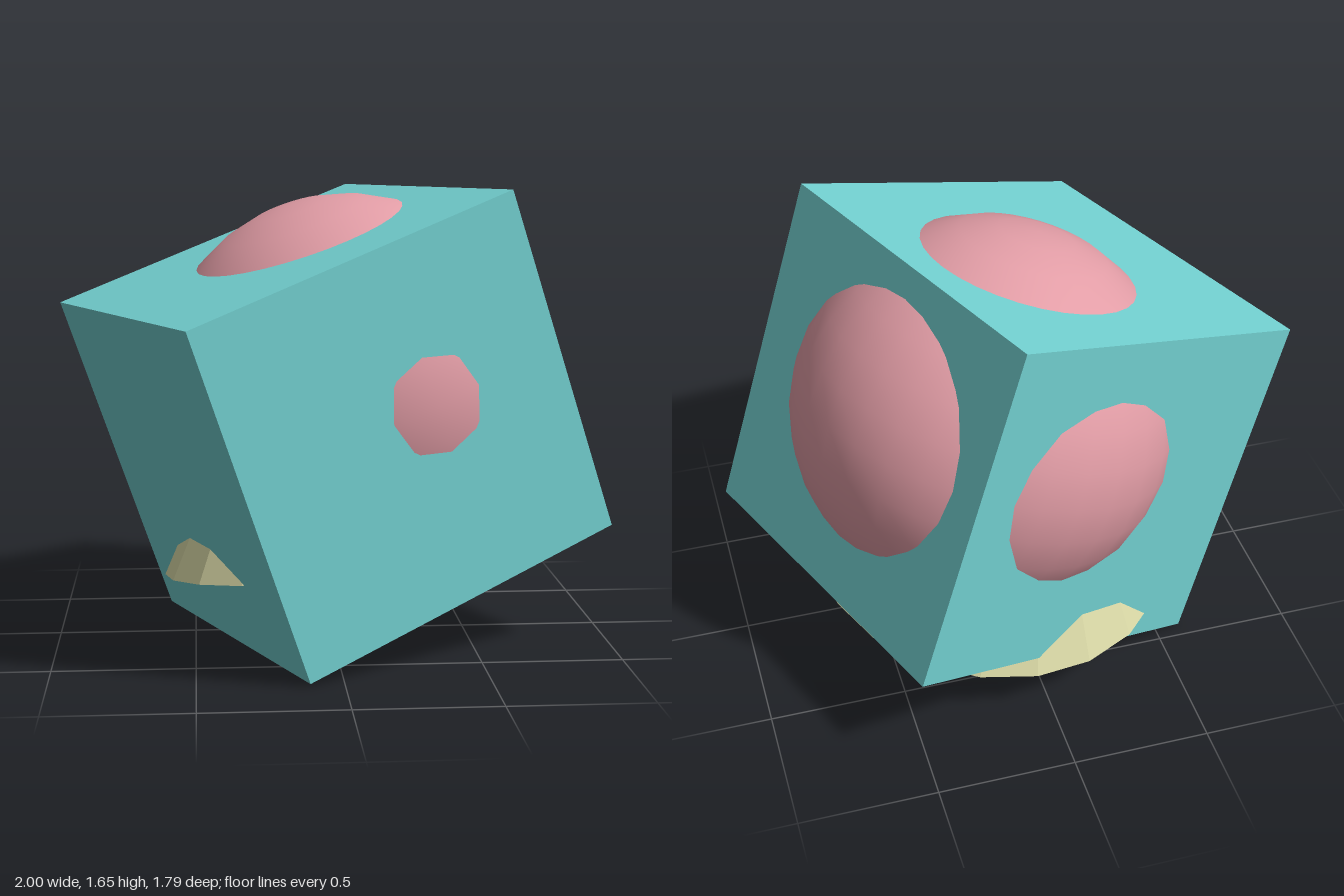
import * as THREE from 'three';

const paint = (name, color, flatShading = false) => {
  const m = new THREE.MeshStandardMaterial({ color, flatShading });
  m.name = name;
  return m;
};

export function createModel() {
  const teal = paint('teal', 0x74d3d3, true);
  const pink = paint('pink', 0xe29da6);
  const cream = paint('cream', 0xdcdba8, true);

  const model = new THREE.Group();
  model.name = 'intersectingSolids';
  const add = (parent, name, geometry, material) => {
    const mesh = new THREE.Mesh(geometry, material);
    mesh.name = name;
    parent.add(mesh);
    return mesh;
  };

  // Tilted frame shared by the cube and the ball
  const z = new THREE.Vector3(0.375, 0.008, 0.93).normalize();
  const x = new THREE.Vector3(0.875, 0.336, -0.344);
  x.addScaledVector(z, -x.dot(z)).normalize();
  const y = new THREE.Vector3().crossVectors(z, x);
  const tilted = new THREE.Group();
  tilted.name = 'tiltedSolids';
  tilted.quaternion.setFromRotationMatrix(new THREE.Matrix4().makeBasis(x, y, z));
  tilted.position.y = 0.825;
  model.add(tilted);

  // Cube, with a ball bulging through five of its faces
  add(tilted, 'cube', new THREE.BoxGeometry(1.28, 1.28, 1.28), teal);
  add(tilted, 'ball', new THREE.SphereGeometry(0.703, 32, 16), pink)
    .position.set(0.12, 0.058, -0.038);

  // Cone whose rim cuts through the lower faces
  const radius = 0.67, height = 1.25;
  const coneGeometry = new THREE.ConeGeometry(radius, height, 20);
  coneGeometry.translate(0, height / 2, 0);
  const cone = add(model, 'cone', coneGeometry, cream);
  cone.position.set(0.055, 0.26, -0.065);
  const axis = new THREE.Vector3(-0.085, 1, -0.11).normalize();
  cone.quaternion.setFromUnitVectors(new THREE.Vector3(0, 1, 0), axis);

  return model;
}
